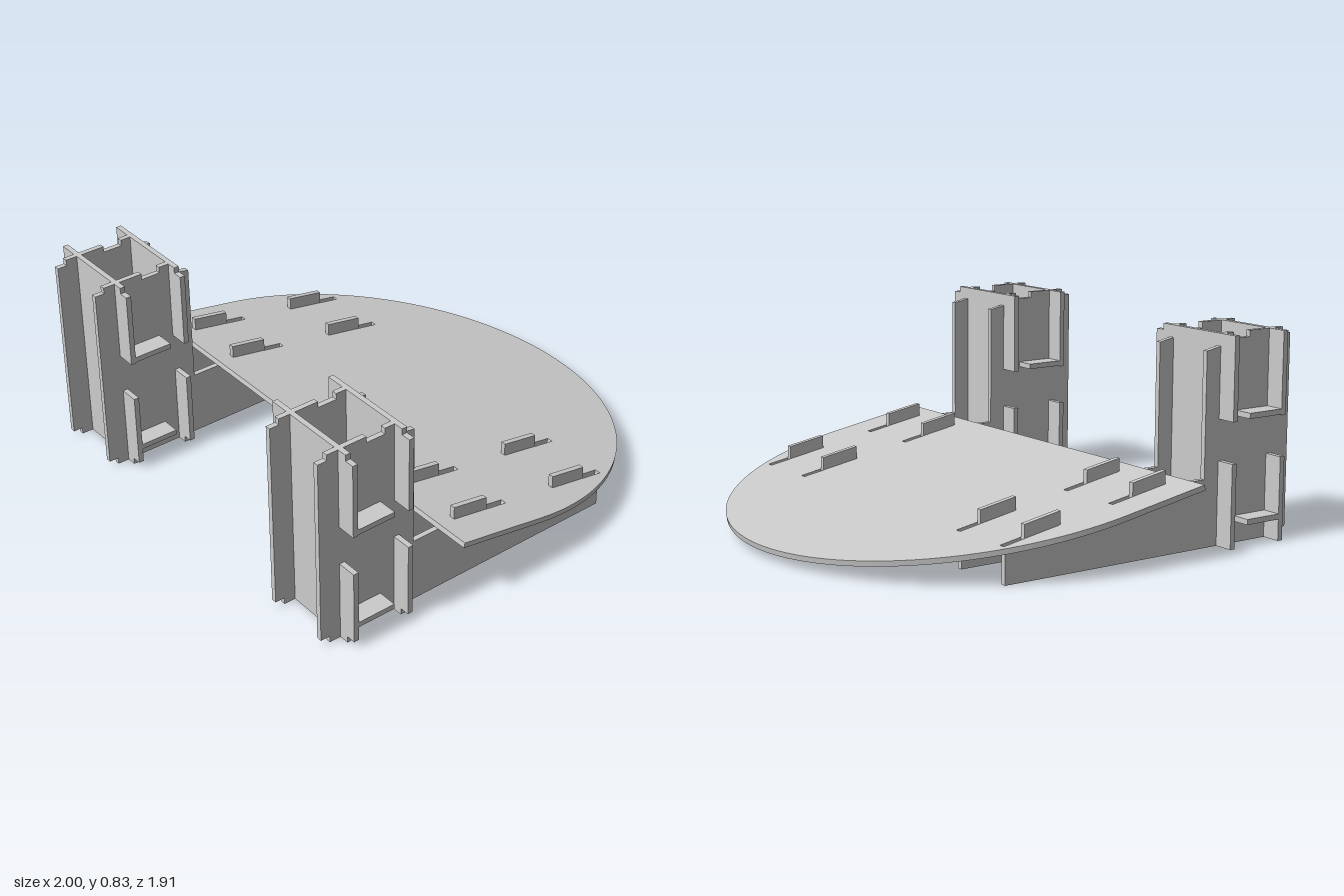
import * as THREE from 'three';

const T = 0.022; // sheet thickness
const TILT = Math.PI / 18;
const FRONT = { y: 0.272, z: 0.407 }; // lower front edge of the tilted board
const under = z => FRONT.y - (FRONT.z - z) * Math.tan(TILT);

const material = new THREE.MeshStandardMaterial({ color: 0xcccccc, flatShading: true });
const outline = pts => new THREE.Shape(pts.map(p => new THREE.Vector2(p[0], p[1])));
const rectHole = (x0, x1, y0, y1) =>
  new THREE.Path([[x0, y0], [x0, y1], [x1, y1], [x1, y0]].map(p => new THREE.Vector2(p[0], p[1])));

// Cut a sheet from a shape, centred on its thickness
function sheet(name, shape) {
  const geo = new THREE.ExtrudeGeometry(shape, { depth: T, bevelEnabled: false, curveSegments: 40 });
  geo.translate(0, 0, -T / 2);
  const mesh = new THREE.Mesh(geo, material);
  mesh.name = name;
  return mesh;
}

// Upright cross panel with notched wings
function crossPanel(name, z) {
  const w = 0.23, n = 0.149;
  const shape = outline([
    [-w, 0], [0.19, 0], [0.19, 0.028], [w, 0.028], [w, 0.338], [n, 0.338], [n, 0.502], [w, 0.502],
    [w, 0.81], [0.19, 0.81], [0.19, 0.835], [-w, 0.835], [-w, 0.502], [-n, 0.502], [-n, 0.338], [-w, 0.338]
  ]);
  const mesh = sheet(name, shape);
  mesh.position.z = z;
  return mesh;
}

// Long side panel: tower wall, sloped bracket and tabs gripping the board
function sidePanel(name, x) {
  const tab = (z0, z1) => [
    [z1, under(z1)], [z1, under(z1) + 0.075], [z0, under(z0) + 0.075], [z0, under(z0)]
  ];
  const shape = outline([
    [-0.42, 0], [0.915, 0], [0.915, 0.028], [0.955, 0.028], [0.955, 0.81], [0.915, 0.81],
    [0.915, 0.835], [0.742, 0.835], [0.742, 0.81], [0.66, 0.81], [0.66, 0.835], [0.602, 0.835],
    [0.602, 0.787], [0.525, 0.773], [0.525, 0.272], [FRONT.z, FRONT.y],
    ...tab(0.17, 0.33), ...tab(-0.333, -0.17), [-0.42, under(-0.42)]
  ]);
  const mesh = sheet(name, shape);
  mesh.geometry.rotateY(-Math.PI / 2);
  mesh.position.x = x;
  return mesh;
}

// Horizontal shelf with side wings, end tabs and an oblong hole
function shelf(name, y) {
  const shape = outline([
    [-0.07, -0.866], [0.07, -0.866], [0.07, -0.855], [0.23, -0.855], [0.23, -0.68], [0.13, -0.68],
    [0.13, -0.61], [0.07, -0.61], [0.07, -0.594], [-0.07, -0.594], [-0.07, -0.61], [-0.13, -0.61],
    [-0.13, -0.68], [-0.23, -0.68], [-0.23, -0.855], [-0.07, -0.855]
  ]);
  const hole = new THREE.Path();
  const r = 0.043;
  hole.absarc(0, -0.692, r, 0, Math.PI, false);
  hole.absarc(0, -0.777, r, Math.PI, Math.PI * 2, false);
  hole.closePath();
  shape.holes.push(hole);
  const mesh = sheet(name, shape);
  mesh.geometry.rotateX(-Math.PI / 2);
  mesh.position.y = y;
  return mesh;
}

function tower(name, x) {
  const group = new THREE.Group();
  group.name = name;
  group.position.x = x;
  group.add(
    crossPanel('frontPanel', 0.855), crossPanel('backPanel', 0.605),
    sidePanel('rightSidePanel', -0.138), sidePanel('leftSidePanel', 0.138),
    shelf('lowerShelf', 0.098), shelf('upperShelf', 0.517)
  );
  return group;
}

// Tilted board: straight front edge, round back, slots for the tabs
function board(towerXs) {
  const shape = new THREE.Shape();
  shape.moveTo(-1, 0);
  shape.lineTo(1, 0);
  shape.lineTo(1, 0.383);
  shape.absarc(0, 0.383, 1, 0, Math.PI, false);
  shape.closePath();
  for (const x of towerXs)
    for (const dx of [-0.138, 0.138])
      for (const [s0, s1] of [[0.078, 0.335], [0.585, 0.843]])
        shape.holes.push(rectHole(x + dx - 0.0125, x + dx + 0.0125, s0, s1));
  const mesh = sheet('board', shape);
  mesh.geometry.translate(0, 0, T / 2);
  mesh.geometry.rotateX(-Math.PI / 2);
  mesh.rotation.x = -TILT;
  mesh.position.set(0, FRONT.y, FRONT.z);
  return mesh;
}

export function createModel() {
  const model = new THREE.Group();
  model.name = 'slottedStand';
  const xs = [-0.71, 0.705];
  model.add(tower('rightTower', xs[0]), tower('leftTower', xs[1]), board(xs));
  return model;
}
